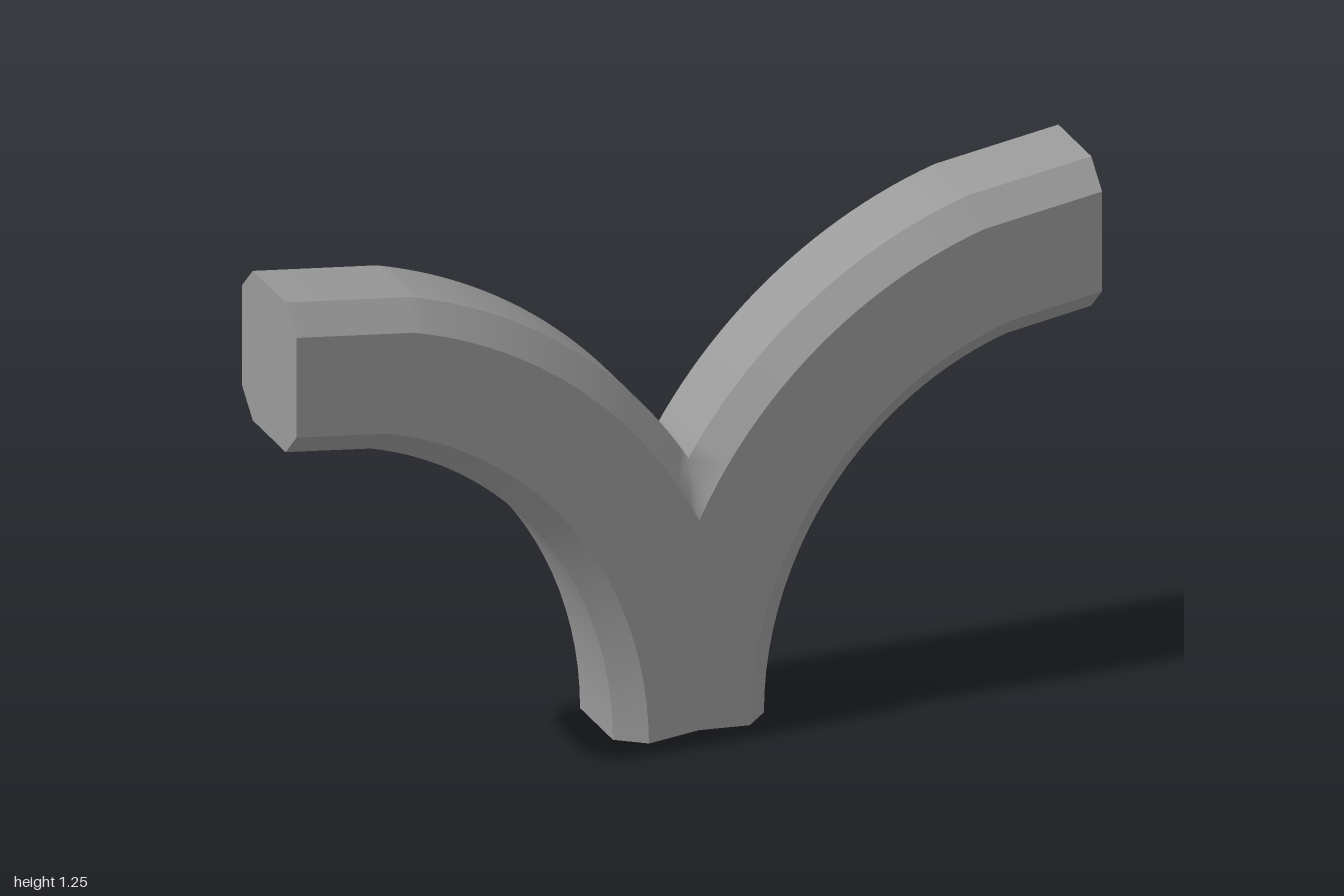
import * as THREE from 'three';
import { mergeGeometries } from 'three/addons/utils/BufferGeometryUtils.js';

const FACE_Z = 0.156, EDGE_Z = 0.094;      // half depth of the side faces and of the chamfered edges
const HALF = 0.1875, CHAMFER = 0.0625;
const END = Math.PI / 2, LAST = END * 5 / 6; // the branch runs straight from LAST to its tip

// Angle at which an ellipse offset by d from the centre line leaves the middle plane
const startAngle = d => Math.acos(1 / (1 + d));

// Angles from a to b, split into n steps
const steps = (a, b, n) => Array.from({ length: n + 1 }, (_, i) => a + (b - a) * i / n);

// Point on the arch at offset d; the foot is slightly hollow
function point(d, t, z) {
  const a = 1 + d, b = 1.058 + d;
  const x = Math.max(0, 1 - a * Math.cos(t));
  const s = Math.min(1, 1 / (a * Math.cos(t) + 1e-9));
  const foot = 0.016 * Math.max(0, 1 - x / HALF);
  return [x < 1e-6 ? 0 : x, Math.max(foot, b * Math.sin(t) * s), z];
}

// Surface between two rows of points, mirrored in x for the other branch
function strip(rowA, rowB, side) {
  const [A, B] = side > 0 ? [rowA, rowB] : [rowB, rowA];
  const pos = [], index = [];
  A.forEach((p, i) => {
    pos.push(p[0] * side, p[1], p[2], B[i][0] * side, B[i][1], B[i][2]);
    if (i) {
      const k = 2 * i - 2;
      index.push(k, k + 2, k + 1, k + 1, k + 2, k + 3);
    }
  });
  const g = new THREE.BufferGeometry();
  g.setAttribute('position', new THREE.Float32BufferAttribute(pos, 3));
  g.setIndex(index);
  g.computeVertexNormals();
  // blend the shading across the seam between the branches
  const normal = g.attributes.normal, v = new THREE.Vector3();
  for (let i = 0; i < normal.count; i++) {
    if (pos[3 * i] !== 0) continue;
    v.fromBufferAttribute(normal, i).setX(0).normalize();
    normal.setXYZ(i, v.x, v.y, v.z);
  }
  return g;
}

function branchGeometry(side) {
  const out = HALF, outC = HALF - CHAMFER, inn = -HALF, innC = CHAMFER - HALF;
  const tC = startAngle(outC), tU = startAngle(out);
  const upper = [...steps(tC, tU, 2), ...steps(tU, LAST, 24).slice(1), END];
  const all = [...steps(0, tC, 8), ...upper.slice(1)];
  const row = (d, z, ts, from = 0) => ts.map(t => point(d, Math.max(t, from), z));
  const top = z => row(out, z, upper, tU);
  const flip = r => r.map(([x, y, z]) => [x, y, -z]);
  const foot = [point(0, 0, FACE_Z), point(innC, 0, FACE_Z), point(inn, 0, EDGE_Z)];
  const tip = [[inn, EDGE_Z], [innC, FACE_Z], [outC, FACE_Z], [out, EDGE_Z]].map(([d, z]) => point(d, END, z));

  return mergeGeometries([
    // upper chamfers and top
    strip(row(outC, FACE_Z, upper), top(EDGE_Z), side),
    strip(top(EDGE_Z), top(-EDGE_Z), side),
    strip(top(-EDGE_Z), row(outC, -FACE_Z, upper), side),
    // back and front faces
    strip(row(outC, -FACE_Z, all), row(innC, -FACE_Z, all), side),
    strip(row(innC, FACE_Z, all), row(outC, FACE_Z, all), side),
    // lower chamfers and underside
    strip(row(innC, -FACE_Z, all), row(inn, -EDGE_Z, all), side),
    strip(row(inn, -EDGE_Z, all), row(inn, EDGE_Z, all), side),
    strip(row(inn, EDGE_Z, all), row(innC, FACE_Z, all), side),
    // foot and tip caps
    strip(flip(foot), foot, side),
    strip(flip(tip), tip, side),
  ]);
}

export function createModel() {
  const group = new THREE.Group();
  group.name = 'forkedBeam';
  const material = new THREE.MeshStandardMaterial({ color: 0x9a9a9a });
  for (const side of [1, -1]) {
    const branch = new THREE.Mesh(branchGeometry(side), material);
    branch.name = side > 0 ? 'leftBranch' : 'rightBranch';
    group.add(branch);
  }
  return group;
}
